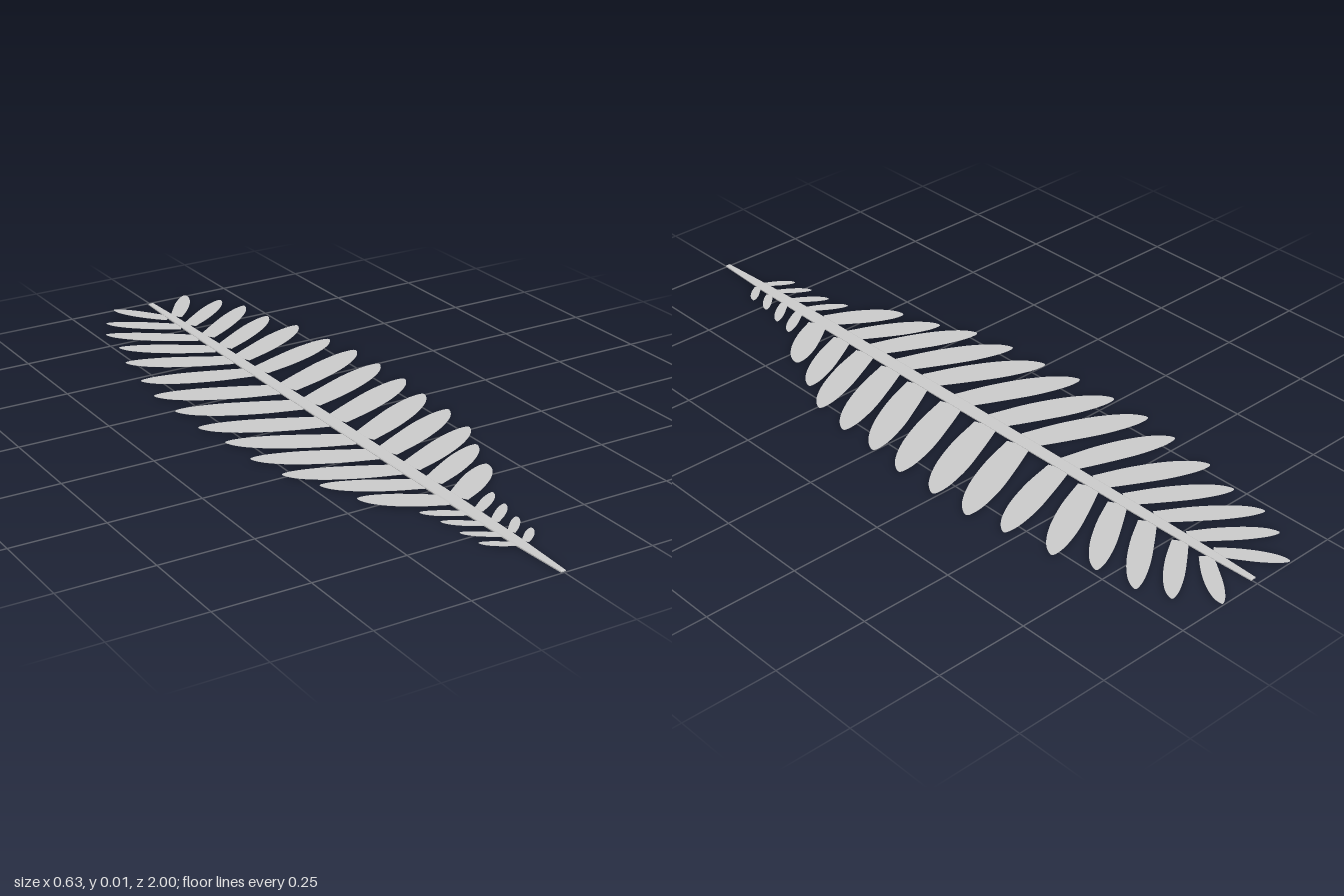
import * as THREE from 'three';

// Leaflets from back to front: right tip x, left tip x, tip z, lower root z, width
const LEAFLETS = [
  [0.122, 0.122, -1.0, -0.84, 0.045], [0.192, 0.189, -0.91, -0.757, 0.053],
  [0.228, 0.23, -0.83, -0.65, 0.06], [0.243, 0.243, -0.72, -0.55, 0.065],
  [0.278, 0.278, -0.61, -0.45, 0.075], [0.298, 0.3, -0.47, -0.345, 0.078],
  [0.318, 0.319, -0.36, -0.2, 0.086], [0.318, 0.319, -0.24, -0.08, 0.086],
  [0.318, 0.319, -0.115, 0.05, 0.086], [0.304, 0.305, 0, 0.18, 0.084],
  [0.3, 0.3, 0.12, 0.285, 0.082], [0.28, 0.28, 0.24, 0.39, 0.076],
  [0.233, 0.234, 0.34, 0.485, 0.068], [0.187, 0.198, 0.45, 0.592, 0.07],
  [0.102, 0.112, 0.59, 0.663, 0.031], [0.09, 0.097, 0.655, 0.728, 0.028],
  [0.073, 0.092, 0.725, 0.793, 0.025], [0.067, 0.085, 0.79, 0.847, 0.024],
];

// Leaflet outline: fraction along the axis, fraction of the width
const OUTLINE = [
  [0, -0.4], [0.35, -0.5], [0.7, -0.41], [0.92, -0.15], [1, 0.14],
  [0.92, 0.32], [0.65, 0.47], [0.3, 0.44], [0, 0.36],
];

// Half width of the stem along z
const STEM = [[-0.985, 0.008], [-0.85, 0.013], [-0.6, 0.017], [0, 0.02], [0.6, 0.02], [0.82, 0.016], [1, 0.007]];
const STEM_X = -0.003;

function leafletGeometry(side, tipX, tipZ, rootZ, width) {
  const root = new THREE.Vector2(0.012, -rootZ + width * 0.32);
  const tip = new THREE.Vector2(tipX, -tipZ - width * 0.13);
  const axis = tip.clone().sub(root);
  const across = new THREE.Vector2(-axis.y, axis.x).normalize().multiplyScalar(width);
  const points = OUTLINE.map(([u, v]) => {
    const p = root.clone().addScaledVector(axis, u).addScaledVector(across, v);
    return new THREE.Vector3(side * p.x, Math.min(p.y, 1), 0);
  });
  const curve = new THREE.CatmullRomCurve3(points, false, 'centripetal');
  const shape = new THREE.Shape(curve.getPoints(40).map((p) => new THREE.Vector2(p.x, p.y)));
  return new THREE.ExtrudeGeometry(shape, { depth: 0.001, bevelEnabled: false }).rotateX(-Math.PI / 2);
}

export function createModel() {
  const group = new THREE.Group();
  group.name = 'frond';
  const material = new THREE.MeshStandardMaterial({ color: 0xcccccc });

  // Flat tapering stem with chamfered edges
  const edge = (side) => STEM.map(([z, w]) => new THREE.Vector2(STEM_X + side * w, -z));
  const stemShape = new THREE.Shape([...edge(1), ...edge(-1).reverse()]);
  const stemGeometry = new THREE.ExtrudeGeometry(stemShape, {
    depth: 0.003, bevelThickness: 0.002, bevelSize: 0.003, bevelOffset: -0.003, bevelSegments: 1,
  });
  const stem = new THREE.Mesh(stemGeometry.rotateX(-Math.PI / 2), material);
  stem.name = 'stem';
  stem.position.y = 0.002;
  group.add(stem);

  // Paired leaflets; the small front ones sit slightly higher
  for (const [name, side] of [['leftLeaflets', 1], ['rightLeaflets', -1]]) {
    const row = new THREE.Group();
    row.name = name;
    LEAFLETS.forEach(([plusX, minusX, tipZ, rootZ, width], i) => {
      const leaflet = new THREE.Mesh(
        leafletGeometry(side, side > 0 ? plusX : minusX, tipZ, rootZ, width), material);
      leaflet.name = `leaflet${i + 1}`;
      leaflet.position.y = i < 13 ? 0.003 : 0.004;
      row.add(leaflet);
    });
    group.add(row);
  }
  return group;
}
